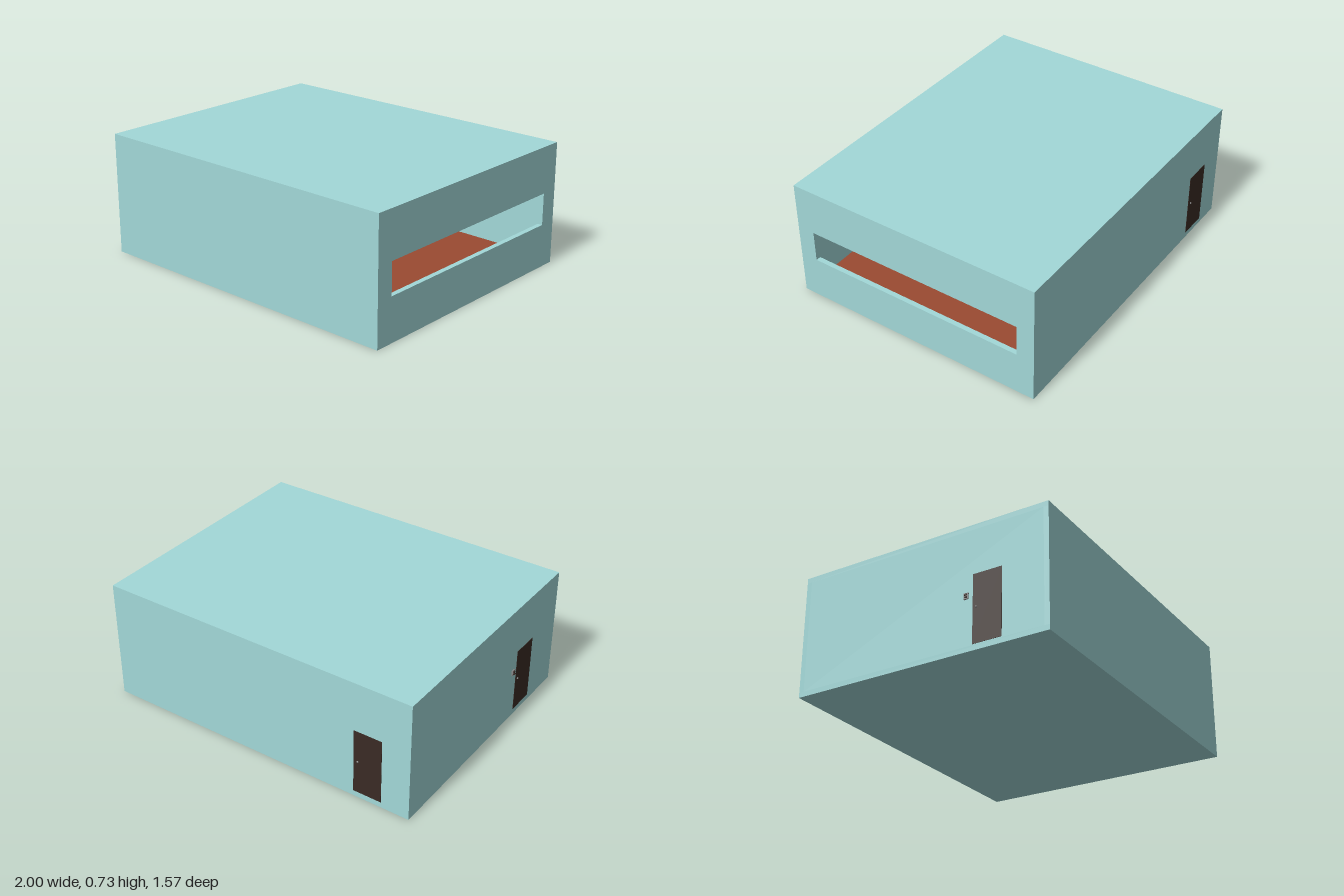
import * as THREE from 'three';

const X0 = -0.987, X1 = 1, Z0 = -0.778, Z1 = 0.787, H = 0.73, T = 0.03;
const paint = (color) => new THREE.MeshStandardMaterial({ color });

export function createModel() {
  const group = new THREE.Group();
  const teal = paint(0xa2d8d8), brown = paint(0x3a2b25), red = paint(0x9a4a32), metal = paint(0x888888);

  const add = (name, geometry, material, parent = group) => {
    const mesh = new THREE.Mesh(geometry, material);
    mesh.name = name;
    parent.add(mesh);
    return mesh;
  };
  // box given by its minimum and maximum corners
  const box = (name, material, [ax, ay, az], [bx, by, bz], parent) => {
    const mesh = add(name, new THREE.BoxGeometry(bx - ax, by - ay, bz - az), material, parent);
    mesh.position.set((ax + bx) / 2, (ay + by) / 2, (az + bz) / 2);
    return mesh;
  };

  // shell: base, roof and three solid walls
  box('base', teal, [X0, 0, Z0], [X1, T, Z1]);
  box('roof', teal, [X0, H - T, Z0], [X1, H, Z1]);
  box('frontWall', teal, [X0, T, Z1 - T], [X1, H - T, Z1]);
  box('backWall', teal, [X0, T, Z0], [X1, H - T, Z0 + T]);
  box('rightWall', teal, [X0, T, Z0 + T], [X0 + T, H - T, Z1 - T]);
  box('floor', red, [X0 + T, T, Z0 + T], [X1 - T, T + 0.005, Z1 - T]);

  // wall with the long window opening, drawn in (-z, y) and extruded along x
  const rect = (path, a, b, c, d) =>
    path.moveTo(a, b).lineTo(c, b).lineTo(c, d).lineTo(a, d).closePath();
  const wall = rect(new THREE.Shape(), -Z1 + T, T, -Z0 - T, H - T);
  wall.holes.push(rect(new THREE.Path(), -0.68, 0.26, 0.67, 0.45));
  const windowWall = add('windowWall', new THREE.ExtrudeGeometry(wall, { depth: T, bevelEnabled: false }), teal);
  windowWall.rotation.y = Math.PI / 2;
  windowWall.position.x = X1 - T;

  // door through a wall, outside facing local +z, with a knob on both faces
  const door = (name, x, z, angle, knobX) => {
    const g = new THREE.Group();
    g.name = name;
    box('doorPanel', brown, [-0.087, 0.035, -T - 0.002], [0.087, 0.433, 0.002], g);
    for (const kz of [0.003, -T - 0.003]) {
      const knob = add('doorKnob', new THREE.SphereGeometry(0.006, 12, 8), metal, g);
      knob.position.set(knobX, 0.24, kz);
    }
    g.position.set(x, 0, z);
    g.rotation.y = angle;
    group.add(g);
  };
  door('sideDoor', X0, 0.425, -Math.PI / 2, -0.065);
  door('backDoor', -0.728, Z0, Math.PI, -0.06);

  // small entry panel with two buttons beside the side door
  box('entryPanel', metal, [X0 - 0.008, 0.298, 0.285], [X0, 0.332, 0.312]);
  for (const y of [0.304, 0.318])
    box('entryButton', brown, [X0 - 0.013, y, 0.291], [X0 - 0.008, y + 0.008, 0.306]);

  return group;
}
